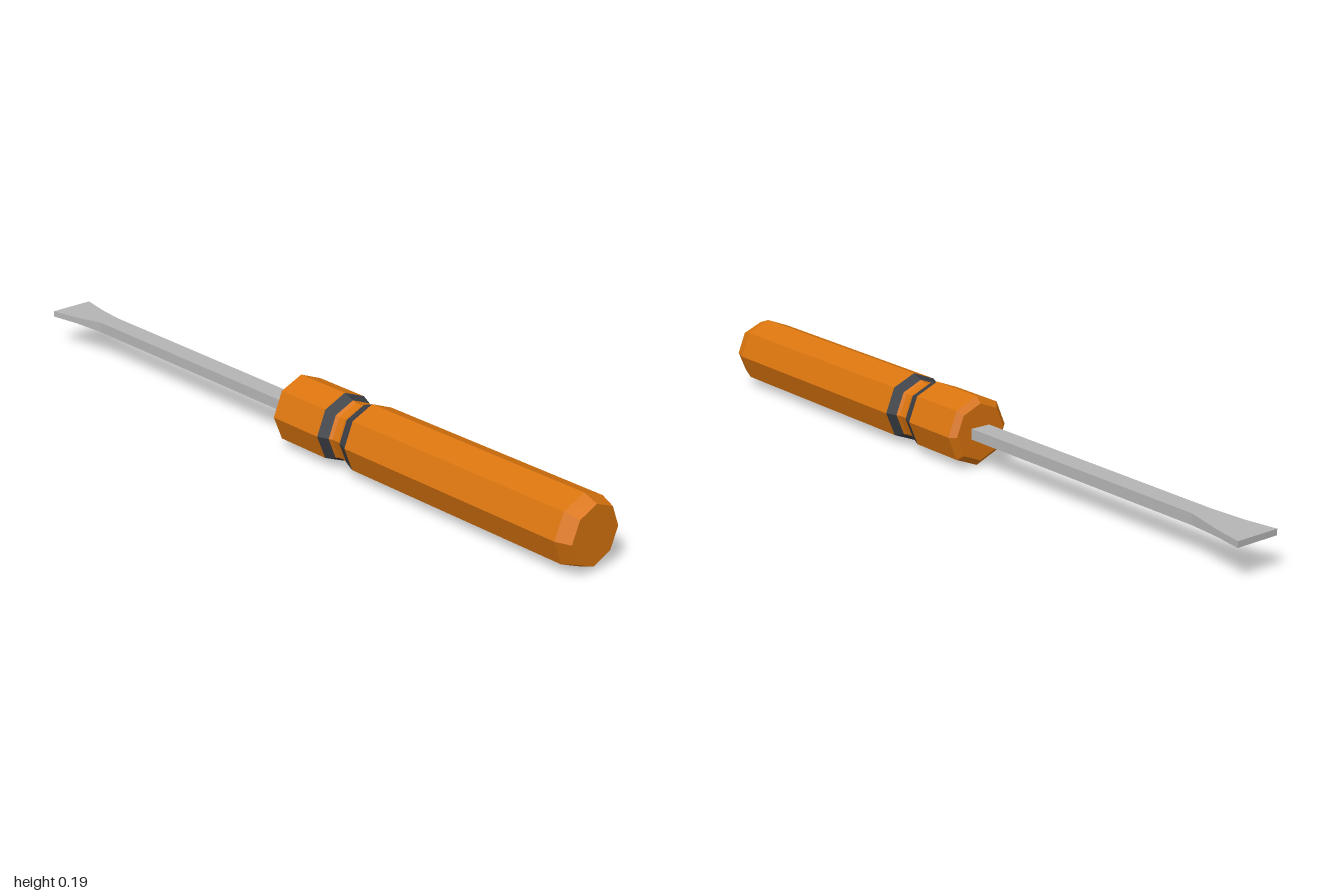
import * as THREE from 'three';

const AXIS_Y = 0.096; // height of the tool's long axis

function flat(geometry) {
  const g = geometry.toNonIndexed();
  g.computeVertexNormals();
  return g;
}

// Eight-sided ring or solid along z from [radius, z] pairs, back to front
function octagonal(name, profile, material) {
  const points = profile.map(([r, z]) => new THREE.Vector2(r, z));
  const geometry = new THREE.LatheGeometry(points, 8).rotateX(Math.PI / 2);
  const mesh = new THREE.Mesh(flat(geometry), material);
  mesh.name = name;
  mesh.position.y = AXIS_Y;
  return mesh;
}

// Rectangular blade: a box whose cross-sections follow [z, halfWidth, halfHeight]
function makeBlade(material) {
  const sections = [
    [-1, 0.063, 0.008],
    [-0.91, 0.046, 0.009],
    [-0.82, 0.029, 0.0145],
    [0.02, 0.029, 0.0145],
  ];
  const geometry = new THREE.BoxGeometry(2, 2, 1, 1, 1, sections.length - 1);
  const p = geometry.attributes.position;
  for (let i = 0; i < p.count; i++) {
    const [z, w, h] = sections[Math.round((p.getZ(i) + 0.5) * (sections.length - 1))];
    p.setXYZ(i, p.getX(i) * w, p.getY(i) * h, z);
  }
  const mesh = new THREE.Mesh(flat(geometry), material);
  mesh.name = 'blade';
  mesh.position.y = AXIS_Y;
  return mesh;
}

export function createModel() {
  const orange = new THREE.MeshStandardMaterial({ color: 0xd9740e });
  orange.name = 'orange handle';
  const dark = new THREE.MeshStandardMaterial({ color: 0x3b3f45 });
  dark.name = 'dark band';
  const steel = new THREE.MeshStandardMaterial({ color: 0xb5b5b5 });
  steel.name = 'steel';

  const R = 0.0935;
  const group = new THREE.Group();
  group.name = 'screwdriver';
  group.add(
    // Collar next to the blade
    octagonal('collar', [[0, -0.015], [0.077, -0.015], [R, 0], [R, 0.165]], orange),
    // Groove with a dark band on either slope
    octagonal('rearBand', [[R, 0.165], [0.082, 0.195]], dark),
    octagonal('groove', [[0.082, 0.195], [0.078, 0.205], [0.078, 0.225], [0.082, 0.235]], orange),
    octagonal('frontBand', [[0.082, 0.235], [R, 0.265]], dark),
    // Long grip with a bevelled end
    octagonal('grip', [[R, 0.265], [R, 0.96], [0.079, 1], [0, 1]], orange),
    makeBlade(steel),
  );
  return group;
}
